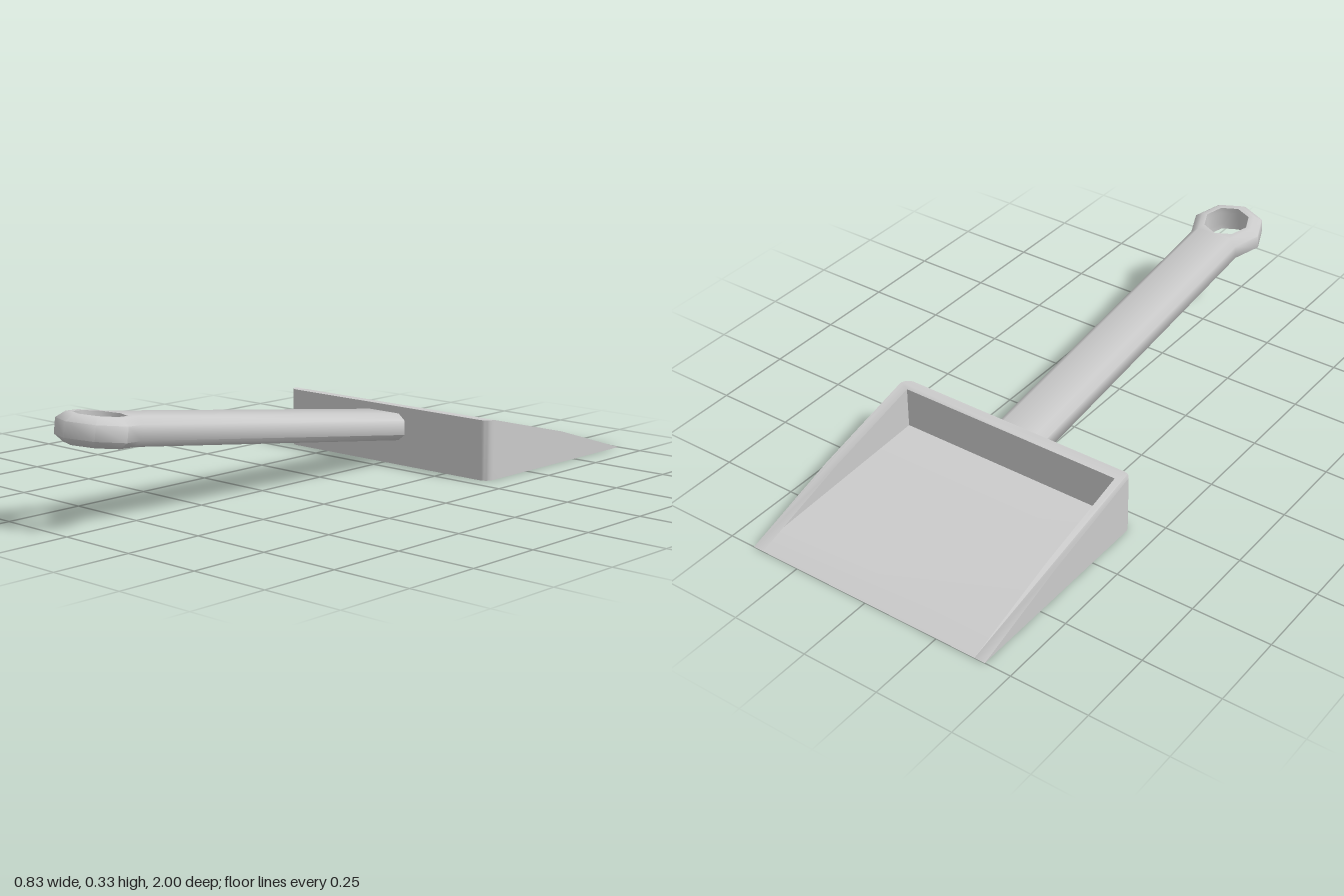
import * as THREE from 'three';
import { toCreasedNormals } from 'three/addons/utils/BufferGeometryUtils.js';

const material = new THREE.MeshStandardMaterial({ color: 0xcccccc, side: THREE.DoubleSide });

function part(name, geometry, crease) {
  const mesh = new THREE.Mesh(toCreasedNormals(geometry, crease), material);
  mesh.name = name;
  return mesh;
}

// Height of the pan rim: level at the handle side, falling in two slopes to the lip
function rimHeight(z) {
  if (z > -0.33) return 0.187;
  if (z > -0.68) return THREE.MathUtils.mapLinear(z, -0.33, -0.68, 0.187, 0.1);
  return THREE.MathUtils.mapLinear(z, -0.68, -1, 0.1, 0);
}

// U-shaped wall with rounded outer corners, its top following the rim height
function walls() {
  const w = 0.415, i = 0.38, r = 0.03, back = -0.3;
  const s = new THREE.Shape();
  s.moveTo(w, -1);
  s.lineTo(w, -0.68);
  s.lineTo(w, back - r);
  s.absarc(w - r, back - r, r, 0, Math.PI / 2, false);
  s.lineTo(-w + r, back);
  s.absarc(-w + r, back - r, r, Math.PI / 2, Math.PI, false);
  s.lineTo(-w, -0.68);
  s.lineTo(-w, -1);
  for (const [x, z] of [[-i, -1], [-i, -0.68], [-i, -0.34], [i, -0.34], [i, -0.68], [i, -1]]) s.lineTo(x, z);
  const g = new THREE.ExtrudeGeometry(s, { depth: 1, bevelEnabled: false, curveSegments: 3 });
  g.rotateX(Math.PI / 2);
  const p = g.attributes.position;
  for (let k = 0; k < p.count; k++) p.setY(k, p.getY(k) > -0.5 ? rimHeight(p.getZ(k)) : 0);
  return part('panWalls', g, 0.6);
}

// Floor with a wedge lip at the open edge
function floor() {
  const s = new THREE.Shape();
  s.moveTo(1, 0);
  s.lineTo(0.91, rimHeight(-0.91));
  s.lineTo(0.34, 0.05);
  s.lineTo(0.34, 0);
  const g = new THREE.ExtrudeGeometry(s, { depth: 0.76, bevelEnabled: false });
  g.translate(0, 0, -0.38);
  g.rotateY(Math.PI / 2);
  return part('panFloor', g, 0.6);
}

// Flat bevelled bar ending in an eight-sided ring with a straight hole
function handle() {
  const w = 0.085, ringZ = 1.21, ringR = 0.12, holeR = 0.075;
  const thick = 0.085, bevel = 0.02;
  const octagon = (r, k) => [r * Math.cos(k * Math.PI / 4), ringZ + r * Math.sin(k * Math.PI / 4)];
  const s = new THREE.Shape();
  s.moveTo(-w, -0.012);
  s.lineTo(w, -0.012);
  s.lineTo(w, ringZ - 0.085);
  for (let k = 0; k <= 4; k++) s.lineTo(...octagon(ringR, k));
  s.lineTo(-w, ringZ - 0.085);
  const hole = new THREE.Path();
  for (let k = 0; k < 8; k++) hole[k ? 'lineTo' : 'moveTo'](...octagon(0.05, -k));
  s.holes.push(hole);
  const g = new THREE.ExtrudeGeometry(s, {
    depth: thick - 2 * bevel, bevelThickness: bevel, bevelSize: 0.025, bevelOffset: -0.025, bevelSegments: 1,
  });
  // Straighten the hole to one radius
  const p = g.attributes.position;
  for (let k = 0; k < p.count; k++) {
    const x = p.getX(k), y = p.getY(k) - ringZ, r = Math.hypot(x, y);
    if (r < 0.085) p.setXY(k, x * holeR / r, ringZ + y * holeR / r);
  }
  g.translate(0, 0, -(thick / 2 - bevel));
  g.rotateX(Math.PI / 2);
  const mesh = part('handle', g, 1.0);
  mesh.position.set(0, 0.119, -0.32);
  mesh.rotation.x = -0.133;
  return mesh;
}

export function createModel() {
  const group = new THREE.Group();
  group.name = 'dustpan';
  group.add(walls(), floor(), handle());
  return group;
}
